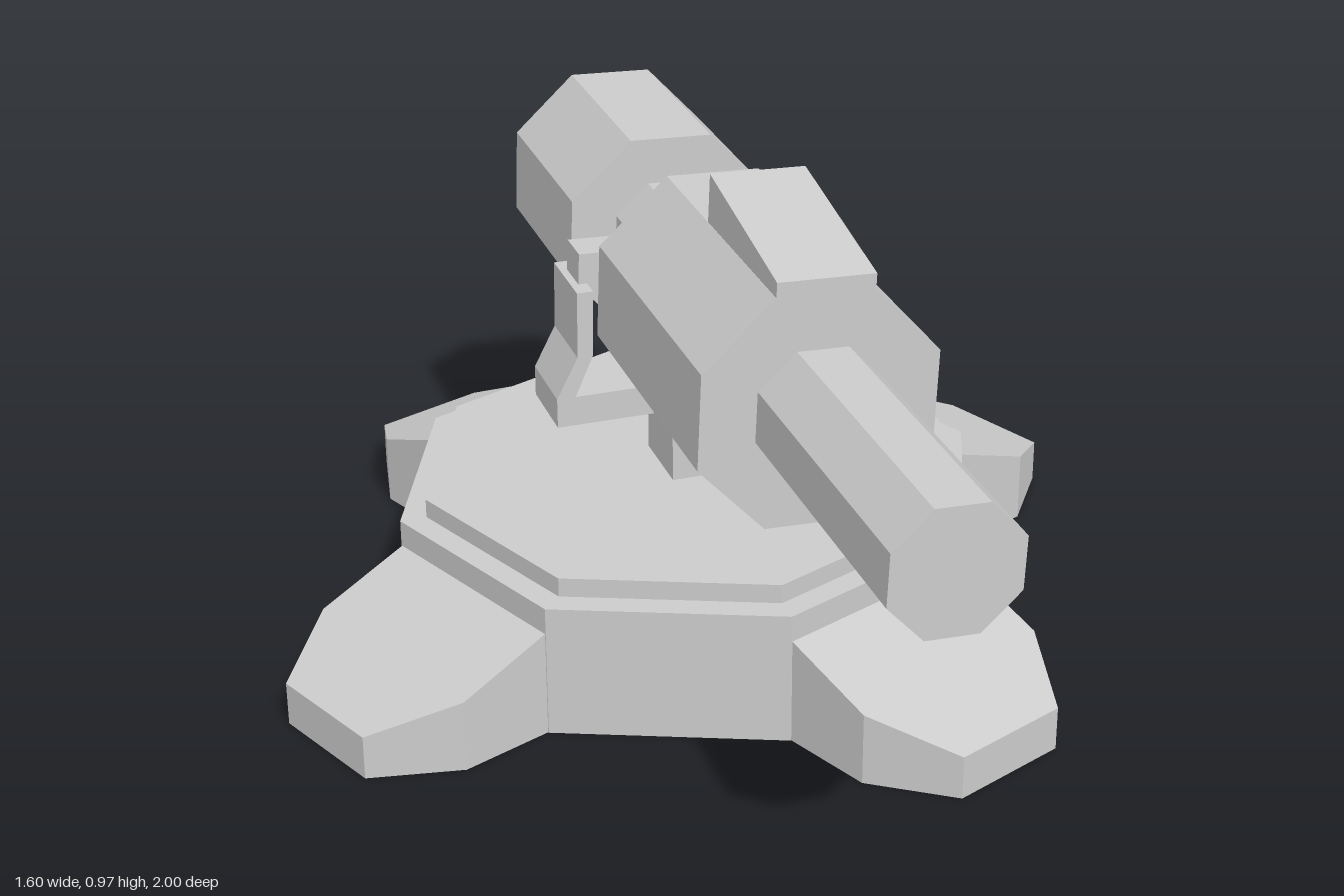
import * as THREE from 'three';

const AXIS_Z = -0.2; // centre of the base and the mount

const material = new THREE.MeshStandardMaterial({ color: 0xcccccc, flatShading: true });

function addMesh(parent, name, geometry) {
  const mesh = new THREE.Mesh(geometry, material);
  mesh.name = name;
  parent.add(mesh);
  return mesh;
}

function polygon(points) {
  return new THREE.Shape(points.map(([x, y]) => new THREE.Vector2(x, y)));
}

function extrude(points, depth) {
  return new THREE.ExtrudeGeometry(polygon(points), { depth, bevelEnabled: false });
}

// Upright octagonal slab with corners on the axes
function slab(radius, y0, y1) {
  return new THREE.CylinderGeometry(radius, radius, y1 - y0, 8).translate(0, (y0 + y1) / 2, 0);
}

// Octagonal bar lying along z, flat side up
function bar(radius, z0, z1) {
  return new THREE.CylinderGeometry(radius, radius, z1 - z0, 8, 1, false, Math.PI / 8)
    .rotateX(Math.PI / 2)
    .translate(0, 0, (z0 + z1) / 2);
}

// Foot pointing along +x, its top sloping down away from the base
function footGeometry() {
  const outline = [[0, -0.206], [0.177, -0.206], [0.32, -0.114], [0.32, 0.114], [0.177, 0.206], [0, 0.206]];
  const geometry = extrude(outline, 1).rotateX(-Math.PI / 2);
  const pos = geometry.attributes.position;
  for (let i = 0; i < pos.count; i++) {
    if (pos.getY(i) > 0.5) pos.setY(i, 0.197 - 0.364 * pos.getX(i));
  }
  geometry.translate(0.54 * Math.cos(Math.PI / 8), 0, 0);
  geometry.computeVertexNormals();
  return geometry;
}

export function createModel() {
  const model = new THREE.Group();
  model.name = 'turret';

  // Base with four feet on alternate sides
  const base = new THREE.Group();
  base.name = 'base';
  base.position.z = AXIS_Z;
  model.add(base);
  addMesh(base, 'baseBody', slab(0.543, 0, 0.245));
  addMesh(base, 'basePlate', slab(0.495, 0.245, 0.28));
  const foot = footGeometry();
  for (let i = 0; i < 4; i++) {
    addMesh(base, 'foot', foot).rotation.y = Math.PI / 8 + (i * Math.PI) / 2;
  }

  // Pillar and fork holding the gun
  const mount = new THREE.Group();
  mount.name = 'mount';
  mount.position.z = AXIS_Z;
  model.add(mount);
  addMesh(mount, 'pillar', new THREE.BoxGeometry(0.11, 0.14, 0.145).translate(0, 0.35, 0));
  const outer = [[0.267, 0.42], [0.267, 0.475], [0.228, 0.55], [0.226, 0.672]];
  const inner = [[0.197, 0.672], [0.2, 0.55], [0.233, 0.475]];
  const half = [...outer, ...inner];
  const mirrored = half.map(([x, y]) => [-x, y]).reverse();
  addMesh(mount, 'fork', extrude([...half, ...mirrored], 0.145).translate(0, 0, -0.0725));

  // Gun, rolled slightly about its own axis
  const gun = new THREE.Group();
  gun.name = 'gun';
  gun.position.y = 0.682;
  gun.rotation.z = THREE.MathUtils.degToRad(-2.4);
  model.add(gun);
  addMesh(gun, 'barrel', bar(0.114, 0.455, 1));
  addMesh(gun, 'body', bar(0.216, -0.087, 0.455));
  addMesh(gun, 'neck', bar(0.106, -0.315, -0.087));
  addMesh(gun, 'rearDrum', bar(0.196, -0.687, -0.315));
  addMesh(gun, 'pivotPin', new THREE.BoxGeometry(0.424, 0.075, 0.07).translate(0, 0, AXIS_Z));

  // Wedge on top of the body, rising towards the rear
  const wedge = extrude([[0.455, 0.19], [0.455, 0.225], [0.13, 0.283], [0.13, 0.19]], 0.165);
  addMesh(gun, 'sightWedge', wedge.rotateY(-Math.PI / 2).translate(0.0825, 0, 0));

  return model;
}
